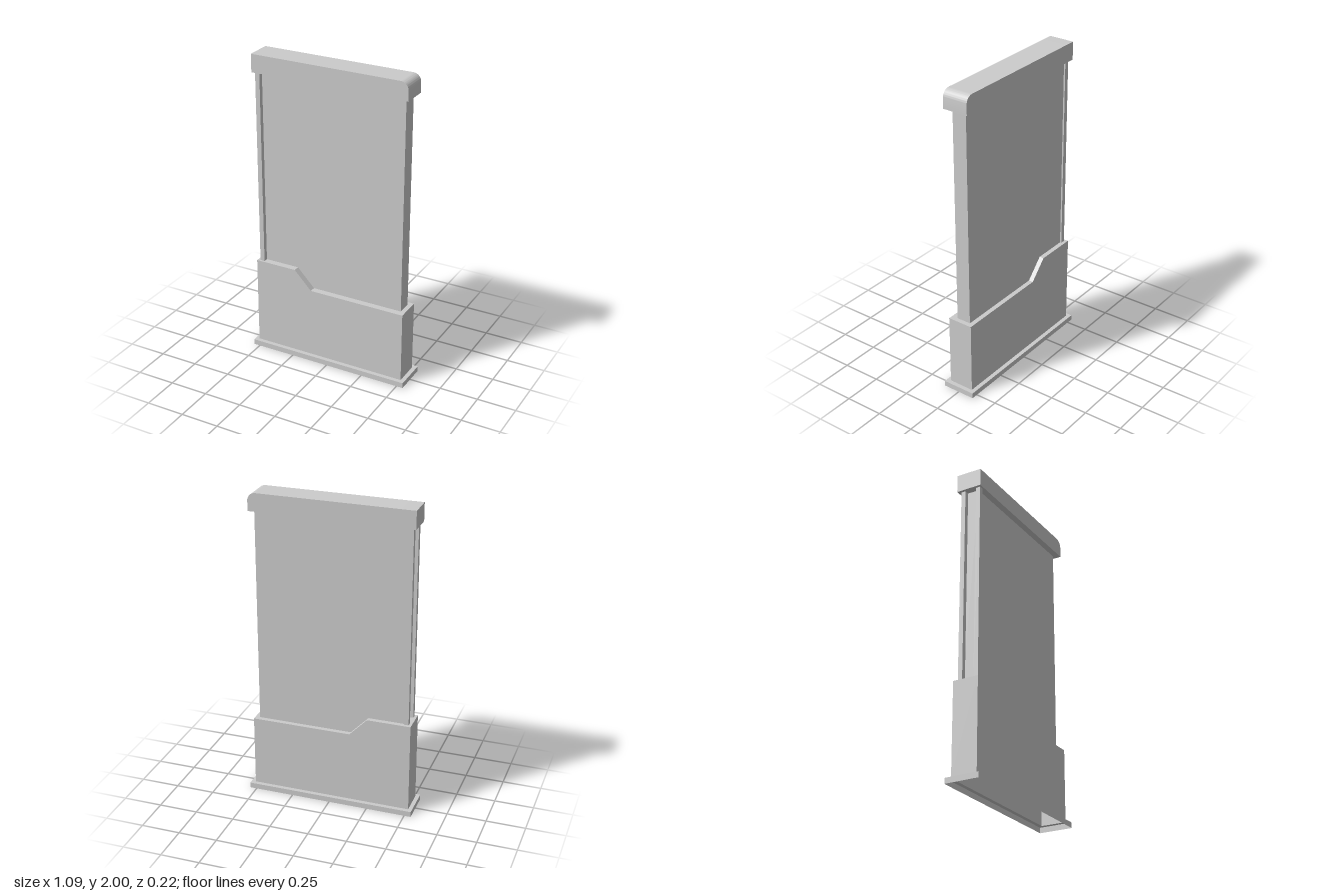
import * as THREE from 'three';
import { toCreasedNormals } from 'three/addons/utils/BufferGeometryUtils.js';

const grey = new THREE.MeshStandardMaterial({ color: 0xcccccc, side: THREE.DoubleSide });

const X0 = -0.518, X1 = 0.515; // ends of the base and the cap
const DEPTH = 0.166;
const PLINTH_H = 0.035;

export function createModel() {
  const model = new THREE.Group();

  const add = (name, geometry) => {
    const mesh = new THREE.Mesh(geometry, grey);
    mesh.name = name;
    model.add(mesh);
    return mesh;
  };

  // Box given by its lower and upper limits
  const block = (name, x0, x1, y0, y1, z0, z1) =>
    add(name, new THREE.BoxGeometry(x1 - x0, y1 - y0, z1 - z0))
      .position.set((x0 + x1) / 2, (y0 + y1) / 2, (z0 + z1) / 2);

  // Front outline extruded through the depth, centred on z
  const extrude = (shape) =>
    new THREE.ExtrudeGeometry(shape, { depth: DEPTH, bevelEnabled: false, curveSegments: 10 })
      .translate(0, 0, -DEPTH / 2);

  const rectangle = (w, d) => [[-w, -d], [w, -d], [w, d], [-w, d]].map(([x, y]) => new THREE.Vector2(x, y));

  // Plinth: open band of side walls, with a ledge running in to the base
  const band = new THREE.BoxGeometry(1.086, PLINTH_H, 0.22);
  const sides = Array.from(band.index.array);
  sides.splice(12, 12); // no top or bottom
  band.setIndex(sides);
  band.clearGroups();
  add('plinthWalls', band).position.y = PLINTH_H / 2;

  const ledge = new THREE.Shape(rectangle(0.543, 0.11));
  ledge.holes.push(new THREE.Path(rectangle((X1 - X0) / 2, DEPTH / 2)));
  add('plinthLedge', new THREE.ShapeGeometry(ledge).rotateX(-Math.PI / 2)).position.y = PLINTH_H;

  // Base: stepped hollow housing, open underneath
  const outline = [[X0, PLINTH_H], [X1, PLINTH_H], [X1, 0.5], [-0.125, 0.5], [-0.24, 0.62], [X0, 0.62]];
  const base = extrude(new THREE.Shape(outline.map(([x, y]) => new THREE.Vector2(x, y))));
  const p = base.attributes.position;
  const kept = [];
  for (let i = 0; i < p.count; i += 3) {
    const top = Math.max(p.getY(i), p.getY(i + 1), p.getY(i + 2));
    if (top > PLINTH_H + 0.001) kept.push(i, i + 1, i + 2);
  }
  base.setIndex(kept);
  base.clearGroups();
  add('base', base);

  // Main panel and the two upright rails at its right end
  block('panel', -0.47, 0.485, 0.5, 1.885, -0.053, 0.042);
  block('frontRail', -0.5, -0.47, 0.62, 1.885, 0.042, 0.071);
  block('backRail', -0.5, -0.47, 0.62, 1.885, -0.063, -0.034);

  // Cap with one rounded top corner
  const r = 0.05;
  const cap = new THREE.Shape();
  cap.moveTo(X0, 1.885);
  cap.lineTo(X1, 1.885);
  cap.lineTo(X1, 2 - r);
  cap.absarc(X1 - r, 2 - r, r, 0, Math.PI / 2, false);
  cap.lineTo(X0, 2);
  add('cap', toCreasedNormals(extrude(cap), Math.PI / 6));

  return model;
}
